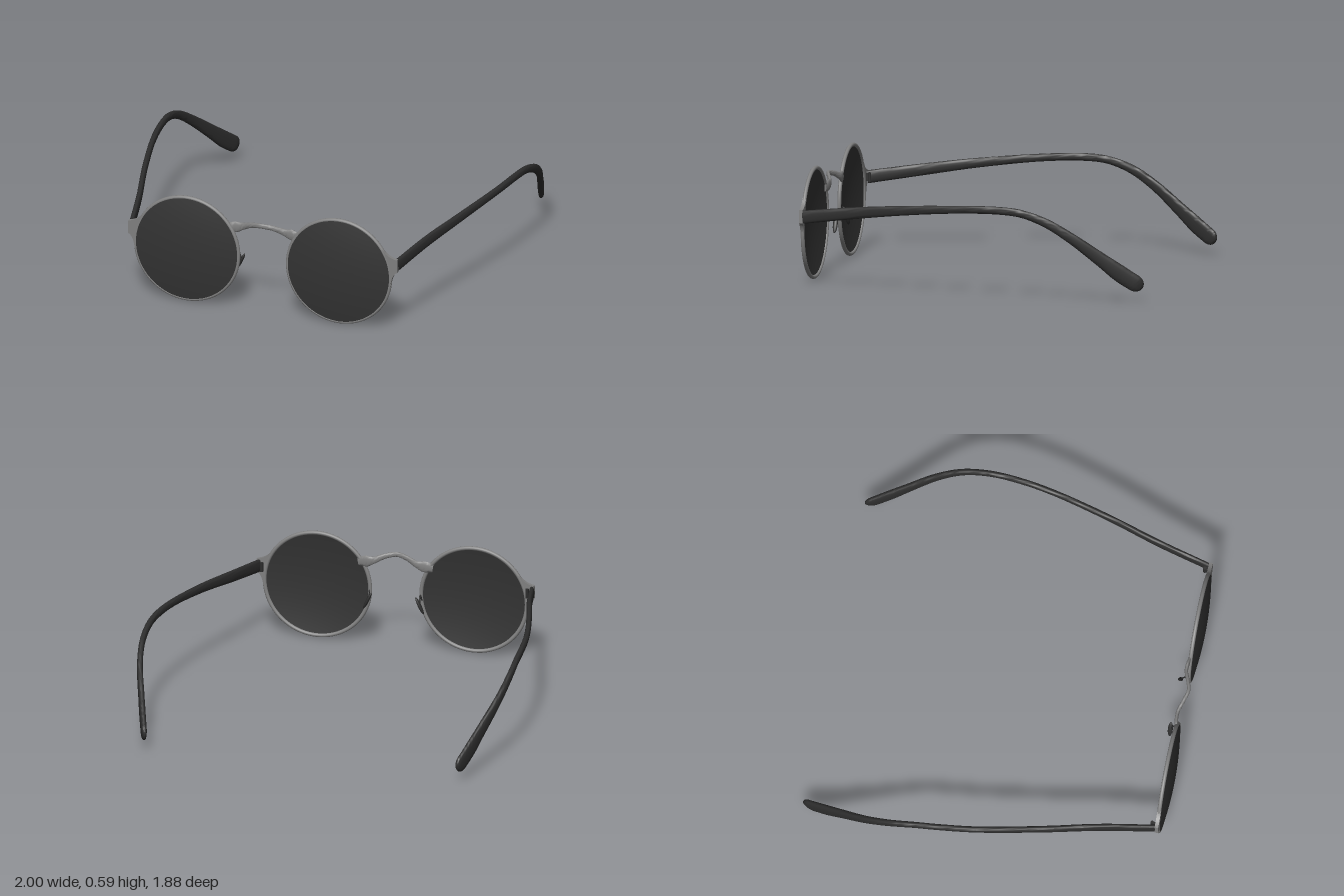
import * as THREE from 'three';
import { toCreasedNormals } from 'three/addons/utils/BufferGeometryUtils.js';

const V = (x, y, z) => new THREE.Vector3(x, y, z);

// Sweeps a rounded-box section along points [x, y, z, halfHeight, halfWidth];
// tip is the length over which the far end is rounded off.
function loft(points, steps, sides, tip, power) {
  const path = new THREE.CatmullRomCurve3(points.map(p => V(p[0], p[1], p[2])));
  const size = new THREE.CatmullRomCurve3(points.map(p => V(p[3], p[4], p[0] * 0.01)));
  const end = path.getPoint(1);
  const pos = [], index = [];
  const soft = v => Math.sign(v) * Math.pow(Math.abs(v), power);
  const rings = steps + 3;
  for (let i = 0; i < rings; i++) {
    const u = Math.min(Math.max((i - 1) / steps, 0), 1);
    const t = tip ? Math.sin(u * Math.PI / 2) : u;
    const c = path.getPoint(t), s = size.getPoint(t);
    const T = path.getTangent(t);
    const S = V(0, 1, 0).cross(T).negate().normalize();
    const U = S.clone().cross(T).normalize();
    const d = c.distanceTo(end);
    let k = i === 0 || i === rings - 1 ? 0 : 1;
    if (tip && d < tip) k *= Math.sqrt(1 - (1 - d / tip) ** 2);
    for (let j = 0; j < sides; j++) {
      const a = j / sides * Math.PI * 2;
      const p = c.clone()
        .addScaledVector(S, soft(Math.cos(a)) * s.y * k)
        .addScaledVector(U, soft(Math.sin(a)) * s.x * k);
      pos.push(p.x, p.y, p.z);
    }
  }
  for (let i = 0; i < rings - 1; i++) {
    for (let j = 0; j < sides; j++) {
      const a = i * sides + j, b = i * sides + (j + 1) % sides;
      if (i < rings - 2) index.push(a, a + sides, b + sides);
      if (i > 0) index.push(a, b + sides, b);
    }
  }
  // close the far end against the collapsed last ring
  for (let j = 0; j < sides; j++) {
    const r = (rings - 2) * sides;
    index.push(r + j, r + sides + j, r + (j + 1) % sides);
  }
  const g = new THREE.BufferGeometry();
  g.setAttribute('position', new THREE.Float32BufferAttribute(pos, 3));
  g.setIndex(index);
  return toCreasedNormals(g, 0.9);
}

export function createModel() {
  const metal = new THREE.MeshStandardMaterial({ name: 'greyMetal', color: 0x808080 });
  const glass = new THREE.MeshStandardMaterial({ name: 'darkLens', color: 0x333333 });
  const black = new THREE.MeshStandardMaterial({ name: 'blackPlastic', color: 0x2d2d2d });
  const model = new THREE.Group();
  model.name = 'sunglasses';

  const add = (parent, name, geometry, material, x = 0, y = 0, z = 0) => {
    const m = new THREE.Mesh(geometry, material);
    m.name = name;
    m.position.set(x, y, z);
    parent.add(m);
    return m;
  };

  // Domed lens shell, hollow at the back
  const R = 0.281, profile = [];
  for (let i = 0; i <= 10; i++) {
    const r = R * i / 10;
    profile.push(new THREE.Vector2(r, 0.0 + 0.024 * (1 - (r / R) ** 2)));
  }
  for (let i = 10; i >= 0; i--) {
    const r = R * i / 10;
    profile.push(new THREE.Vector2(r, 0.012 + 0.024 * (1 - (r / R) ** 2)));
  }
  const lensGeo = toCreasedNormals(new THREE.LatheGeometry(profile, 64).rotateX(Math.PI / 2), 0.7);

  for (const s of [1, -1]) {
    const side = new THREE.Group();
    side.name = s > 0 ? 'leftSide' : 'rightSide';
    model.add(side);

    add(side, 'lens', lensGeo, glass, s * 0.42, 0.295, 0.901);
    add(side, 'rim', new THREE.TorusGeometry(0.283, 0.0105, 12, 80), metal, s * 0.42, 0.295, 0.9035);

    // Flared end piece outside the rim
    const plate = new THREE.Shape();
    plate.moveTo(s * 0.66, 0.455);
    plate.quadraticCurveTo(s * 0.695, 0.41, s * 0.743, 0.405);
    plate.lineTo(s * 0.745, 0.335);
    plate.quadraticCurveTo(s * 0.715, 0.325, s * 0.706, 0.25);
    plate.quadraticCurveTo(s * 0.71, 0.36, s * 0.66, 0.455);
    add(side, 'endPiece', new THREE.ExtrudeGeometry(plate, { depth: 0.019, bevelEnabled: false }),
      metal, 0, 0, 0.894);

    // Hinge barrel and its leaf
    add(side, 'hingeBarrel', new THREE.CylinderGeometry(0.009, 0.009, 0.05, 12), black, s * 0.712, 0.368, 0.876);
    add(side, 'hingeLeaf', new THREE.BoxGeometry(0.012, 0.04, 0.022), black, s * 0.712, 0.368, 0.886);

    // Temple arm, bowed outwards and hooked down behind the ear
    const temple = [
      [0.733, 0.367, 0.893, 0.034, 0.013], [0.795, 0.405, 0.62, 0.031, 0.014],
      [0.875, 0.44, 0.33, 0.025, 0.014], [0.951, 0.467, 0, 0.02, 0.014],
      [0.978, 0.472, -0.2, 0.02, 0.014], [0.985, 0.461, -0.32, 0.02, 0.014],
      [0.983, 0.417, -0.45, 0.023, 0.014], [0.96, 0.338, -0.58, 0.027, 0.015],
      [0.91, 0.222, -0.73, 0.036, 0.016], [0.875, 0.143, -0.83, 0.044, 0.016],
      [0.838, 0.073, -0.932, 0.043, 0.015],
    ].map(p => [s * p[0], ...p.slice(1)]);
    add(side, 'temple', loft(temple, 70, 20, 0.05, 0.75), black);

    // Nose pad on a bent wire
    const wire = new THREE.CatmullRomCurve3([
      V(s * 0.148, 0.235, 0.903), V(s * 0.141, 0.272, 0.895), V(s * 0.137, 0.295, 0.884),
      V(s * 0.137, 0.282, 0.872), V(s * 0.14, 0.25, 0.864),
    ]);
    add(side, 'nosePadWire', new THREE.TubeGeometry(wire, 20, 0.004, 8), black);
    const pad = add(side, 'nosePad', new THREE.SphereGeometry(1, 20, 14), black, s * 0.14, 0.247, 0.86);
    pad.scale.set(0.009, 0.05, 0.013);
    pad.rotation.z = s * 0.45;
  }

  // Arched bridge, thin in the middle and flaring into the rims
  const half = [
    [0.2, 0.445, 0.902, 0.022, 0.008], [0.155, 0.452, 0.895, 0.03, 0.009],
    [0.115, 0.461, 0.895, 0.019, 0.009], [0.06, 0.482, 0.913, 0.014, 0.009],
  ];
  const bridge = [
    ...half.map(p => [-p[0], ...p.slice(1)]),
    [0, 0.492, 0.929, 0.013, 0.009],
    ...half.slice().reverse(),
  ];
  add(model, 'bridge', loft(bridge, 48, 16, 0, 0.9), metal);
  return model;
}
